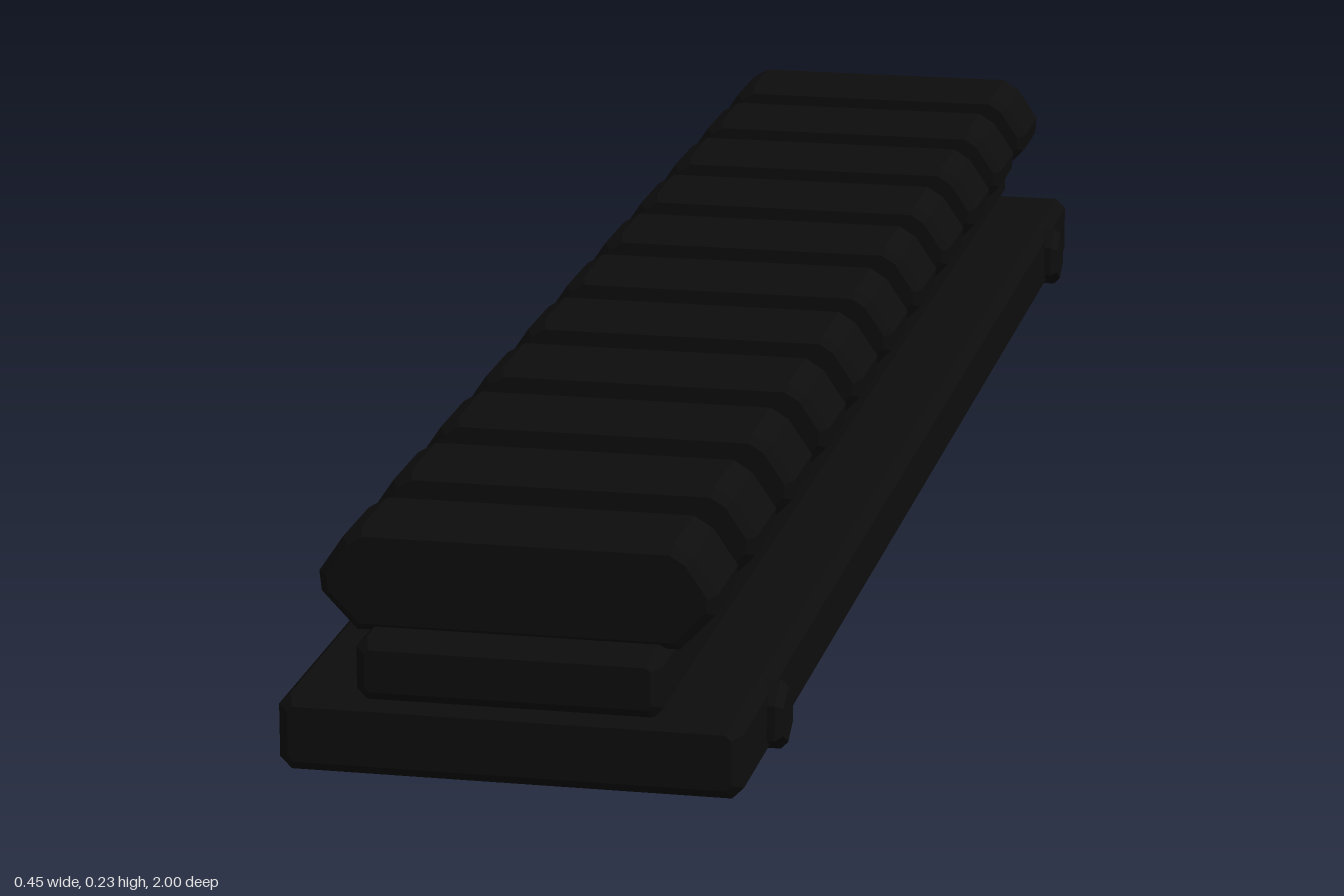
import * as THREE from 'three';

const CENTRE_X = -0.0075;

// Extrudes a half profile (mirrored in x, listed bottom to top) along z with chamfered ends.
function chamferedBar(half, length, bevel) {
  const left = half.map(([x, y]) => [-x, y]).reverse();
  const shape = new THREE.Shape([...half, ...left].map(([x, y]) => new THREE.Vector2(x, y)));
  const geometry = new THREE.ExtrudeGeometry(shape, {
    depth: length - 2 * bevel,
    bevelEnabled: true,
    bevelSegments: 1,
    bevelSize: bevel,
    bevelThickness: bevel,
    bevelOffset: -bevel,
  });
  return geometry.translate(0, 0, bevel - length / 2);
}

// Half profile of a rectangle with cut corners.
function cutRectangle(halfWidth, bottom, top, cut) {
  return [
    [halfWidth - cut, bottom],
    [halfWidth, bottom + cut],
    [halfWidth, top - cut],
    [halfWidth - cut, top],
  ];
}

export function createModel() {
  const model = new THREE.Group();
  model.name = 'slottedRail';
  const black = new THREE.MeshStandardMaterial({ color: 0x0d0d0d, flatShading: true });
  black.name = 'black';

  function add(name, geometry, x, z) {
    const mesh = new THREE.Mesh(geometry, black);
    mesh.name = name;
    mesh.position.set(x, 0, z);
    model.add(mesh);
  }

  // Base plate and the narrower neck on top of it
  add('basePlate', chamferedBar(cutRectangle(0.217, 0, 0.073, 0.011), 2, 0.01), CENTRE_X, 0);
  add('neck', chamferedBar(cutRectangle(0.143, 0.072, 0.132, 0.01), 2, 0.01), CENTRE_X, 0);

  // Row of eleven cross teeth
  const tooth = chamferedBar([
    [0.151, 0.127],
    [0.184, 0.162],
    [0.186, 0.181],
    [0.163, 0.215],
    [0.145, 0.226],
  ], 0.107, 0.008);
  for (let i = 0; i < 11; i++) add('tooth', tooth, CENTRE_X, (i - 5) * 0.182);

  // Hexagonal clamp bolts on the left side, turned from a chamfered profile
  const boltProfile = [[0, -0.02], [0.034, -0.02], [0.034, 0.005], [0.027, 0.012], [0, 0.012]];
  const bolt = new THREE.LatheGeometry(boltProfile.map(([r, h]) => new THREE.Vector2(r, h)), 6);
  bolt.rotateY(Math.PI / 2).rotateZ(-Math.PI / 2).translate(0, 0.0365, 0);
  for (const z of [-0.855, 0.855]) add('clampBolt', bolt, 0.212, z);

  return model;
}
